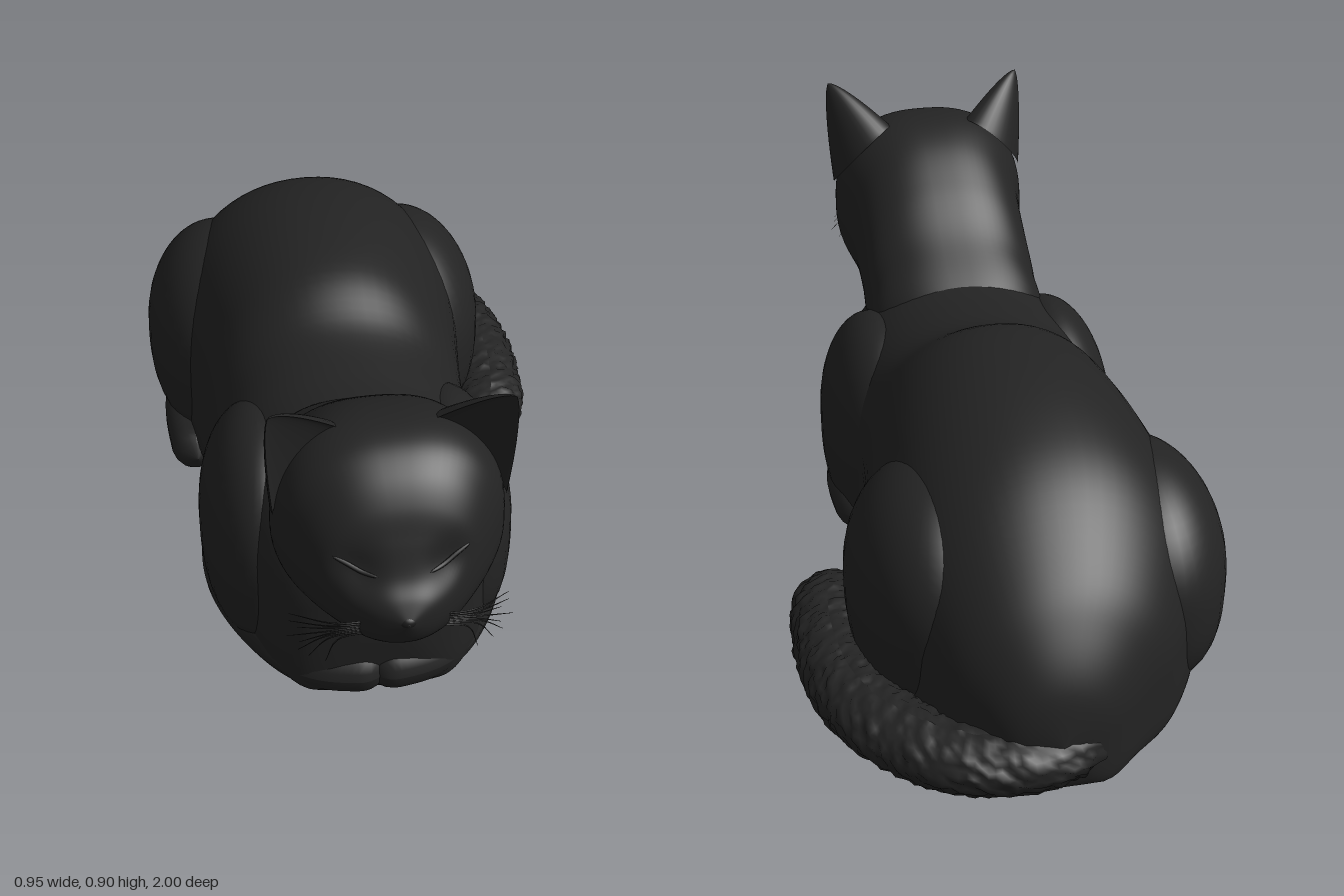
import * as THREE from 'three';

const fur = new THREE.MeshStandardMaterial({ color: 0x232323 });
fur.name = 'black fur';
const dark = new THREE.MeshStandardMaterial({ color: 0x191919 });
dark.name = 'darker skin';

const noise = (i, j) => {
  const s = Math.sin(i * 12.9898 + j * 78.233) * 43758.5453;
  return s - Math.floor(s);
};

function part(name, geometry, material = fur) {
  const mesh = new THREE.Mesh(geometry, material);
  mesh.name = name;
  return mesh;
}

// Closed skin: fn(t, angle) gives a point; t runs along, angle runs round
function skin(fn, nt, na) {
  const pos = [], idx = [];
  for (let i = 0; i <= nt; i++) {
    for (let j = 0; j < na; j++) pos.push(...fn(i / nt, (j / na) * Math.PI * 2));
  }
  for (let i = 0; i < nt; i++) {
    for (let j = 0; j < na; j++) {
      const a = i * na + j, b = i * na + (j + 1) % na;
      idx.push(a, b, a + na, b, b + na, a + na);
    }
  }
  const g = new THREE.BufferGeometry();
  g.setAttribute('position', new THREE.Float32BufferAttribute(pos, 3));
  g.setIndex(idx);
  g.computeVertexNormals();
  return g;
}

// Smooth value of column k at t along the cross-section rows
function sample(rows, t, k) {
  const f = t * (rows.length - 1), i = Math.min(Math.floor(f), rows.length - 2), u = f - i;
  const at = (n) => rows[Math.max(0, Math.min(rows.length - 1, n))][k];
  const [a, b, c, d] = [at(i - 1), at(i), at(i + 1), at(i + 2)];
  return b + 0.5 * u * (c - a + u * (2 * a - 5 * b + 4 * c - d + u * (3 * (b - c) + d - a)));
}

// Loft along z; rows are [z, half width, height of widest point, bottom, top, centre x]
function loft(rows, topPower, bottomPower, nt, na, dent = () => 0) {
  const pw = (v, n) => Math.sign(v) * Math.pow(Math.abs(v), 2 / n);
  return skin((t, a) => {
    const [z, w, yc, yb, yt, cx] = [0, 1, 2, 3, 4, 5].map((k) => sample(rows, t, k));
    const s = Math.sin(a), n = s > 0 ? topPower : bottomPower;
    const x = Math.max(w, 0) * pw(Math.cos(a), n);
    const y = yc + (s > 0 ? yt - yc : yc - yb) * pw(s, n);
    return [cx + x, Math.max(0, y), z - dent(x, y, z)];
  }, nt, na);
}

// Tube whose radius follows radius(u), with optional flattening and ragged fur
function limb(points, radius, nt, na, flat = 1, ragged = 0) {
  const curve = new THREE.CatmullRomCurve3(points.map((p) => new THREE.Vector3(...p)));
  const g = new THREE.TubeGeometry(curve, nt, 1, na, false);
  const p = g.attributes.position, v = new THREE.Vector3();
  for (let i = 0; i <= nt; i++) {
    const c = curve.getPointAt(i / nt);
    for (let j = 0; j <= na; j++) {
      const k = i * (na + 1) + j;
      const r = radius(i / nt) * (1 + ragged * (noise(i, j % na) - 0.5));
      v.fromBufferAttribute(p, k).sub(c).multiplyScalar(r);
      v.y *= flat;
      v.add(c);
      p.setXYZ(k, v.x, Math.max(0, v.y), v.z);
    }
  }
  g.computeVertexNormals();
  return g;
}

// Ellipsoid; a power above 2 makes its lower half stand more upright
function ellipsoid(name, [x, y, z], [rx, ry, rz], material = fur, power = 2) {
  const g = new THREE.SphereGeometry(1, 40, 32);
  const p = g.attributes.position;
  for (let i = 0; i < p.count; i++) {
    const u = p.getY(i), r = Math.sqrt(Math.max(1e-6, 1 - u * u));
    const k = u < 0 ? Math.pow(Math.max(0, 1 - Math.pow(-u, power)), 1 / power) / r : 1;
    p.setXYZ(i, x + p.getX(i) * k * rx, Math.max(0, y + u * ry), z + p.getZ(i) * k * rz);
  }
  g.computeVertexNormals();
  return part(name, g, material);
}

// Rounded at both ends, r in the middle
const round = (r, e = 0.12) => (u) => {
  const d = Math.min(u, 1 - u, e) / e;
  return r * Math.sqrt(Math.max(1e-8, 1 - (1 - d) ** 2));
};

export function createModel() {
  const cat = new THREE.Group();
  cat.name = 'lyingCat';
  const body = new THREE.Group();
  body.name = 'body';
  body.position.x = -0.06;
  cat.add(body);

  // Trunk from rump to chest, the rump leaning slightly towards the tail
  body.add(part('trunk', loft([
    [-0.965, 0, 0.12, 0.12, 0.12, 0.05], [-0.94, 0.1, 0.13, 0, 0.24, 0.045],
    [-0.88, 0.18, 0.16, 0, 0.345, 0.035], [-0.8, 0.255, 0.18, 0, 0.435, 0.02],
    [-0.65, 0.325, 0.2, 0, 0.553, 0.005], [-0.5, 0.35, 0.22, 0, 0.612, 0],
    [-0.3, 0.337, 0.24, 0, 0.642, 0], [-0.1, 0.31, 0.25, 0, 0.633, 0], [0.05, 0.3, 0.25, 0, 0.567, 0],
    [0.2, 0.315, 0.24, 0, 0.55, 0], [0.35, 0.3, 0.24, 0, 0.55, 0], [0.48, 0.265, 0.24, 0, 0.52, 0],
    [0.57, 0.22, 0.24, 0, 0.46, 0], [0.625, 0.15, 0.26, 0.03, 0.39, 0], [0.655, 0, 0.3, 0.3, 0.3, 0],
  ], 2.1, 7, 90, 64)));

  // Neck and head, with shallow eye sockets
  const bump = (x, y, cx, cy, s) => Math.exp(-((Math.abs(x) - cx) ** 2 + (y - cy) ** 2) / (s * s));
  const head = part('head', loft([
    [0.08, 0, 0.4, 0.4, 0.4, 0], [0.28, 0.195, 0.39, 0.25, 0.552, 0], [0.4, 0.212, 0.43, 0.28, 0.635, 0],
    [0.5, 0.21, 0.5, 0.31, 0.72, 0], [0.6, 0.214, 0.55, 0.345, 0.787, 0], [0.7, 0.236, 0.58, 0.38, 0.82, 0],
    [0.78, 0.228, 0.59, 0.4, 0.817, 0], [0.84, 0.197, 0.58, 0.41, 0.785, 0],
    [0.885, 0.163, 0.57, 0.42, 0.735, 0], [0.915, 0.133, 0.55, 0.43, 0.675, 0],
    [0.945, 0.1, 0.54, 0.445, 0.608, 0], [0.975, 0.057, 0.535, 0.475, 0.572, 0],
    [1.0, 0, 0.535, 0.535, 0.535, 0],
  ], 2.5, 2.3, 90, 72, (x, y, z) => (z > 0.8 ? 0.015 * bump(x, y, 0.09, 0.62, 0.04) : 0)));
  body.add(head);

  // Finds the depth of the face at x, y
  const ray = new THREE.Raycaster();
  const faceZ = (x, y) => {
    ray.set(new THREE.Vector3(x, y, 2), new THREE.Vector3(0, 0, -1));
    const hit = ray.intersectObject(head)[0];
    return hit ? hit.point.z : 0.9;
  };
  const onFace = (pts) => pts.map(([x, y]) => [x, y, faceZ(x, y)]);

  body.add(ellipsoid('nose', [0, 0.535, 0.979], [0.022, 0.016, 0.02], dark));
  body.add(ellipsoid('chin', [0, 0.465, 0.9], [0.05, 0.035, 0.045]));

  // Paired parts, built on the left and mirrored to the right
  for (const side of [1, -1]) {
    const half = new THREE.Group();
    half.name = side > 0 ? 'leftSide' : 'rightSide';
    half.scale.x = side;
    body.add(half);

    half.add(ellipsoid('haunch', [0.23, 0.25, -0.48], [0.185, 0.255, 0.285], fur, 2.8));
    half.add(ellipsoid('shoulder', [0.215, 0.23, 0.26], [0.138, 0.26, 0.27], fur, 2.8));
    half.add(part('hindFoot', limb(
      [[0.28, 0.05, -0.6], [0.33, 0.05, -0.42], [0.325, 0.045, -0.19]], round(0.058, 0.15), 30, 18)));
    half.add(part('frontLeg', limb(
      [[0.27, 0.055, 0.08], [0.272, 0.058, 0.28], [0.205, 0.058, 0.46], [0.12, 0.058, 0.56], [-0.03, 0.058, 0.595]],
      round(0.072, 0.1), 50, 20, 0.9)));

    // Ear: rounded outside, hollow in front
    half.add(part('ear', skin((t, a) => {
      const r = Math.pow(1 - t, 0.75);
      const c = Math.cos(a) * r * 1.1, s = Math.sin(a) * r * (Math.sin(a) > 0 ? 1 : -0.25);
      return [0.165 + 0.076 * t + 0.063 * c + 0.025 * s,
        0.725 + 0.176 * t - 0.073 * c + 0.02 * s,
        0.735 + 0.05 * t + 0.025 * c - 0.072 * s];
    }, 20, 36)));

    // Closed eye, whisker pad and mouth line
    half.add(part('closedEyelid', limb(
      onFace([[0.05, 0.61], [0.08, 0.615], [0.11, 0.63], [0.135, 0.642]]), round(0.005, 0.4), 20, 8), dark));
    half.add(ellipsoid('whiskerPad', [0.035, 0.497, 0.932], [0.045, 0.035, 0.042]));
    half.add(part('mouthLine', limb(
      [[0, 0.49, 0.967], [0.025, 0.472, 0.96], [0.06, 0.472, 0.93]], round(0.004, 0.3), 14, 6), dark));

    // Whiskers
    for (let i = 0; i < 8; i++) {
      const q = i / 7, reach = 0.16 + 0.06 * noise(i, 3);
      half.add(part('whisker', limb([
        [0.045, 0.51 - 0.03 * q, 0.945],
        [0.045 + reach * 0.5, 0.515 - 0.06 * q, 0.95 - 0.02 * q],
        [0.045 + reach * (1 - 0.35 * q), 0.49 - 0.1 * q, 0.88 + 0.04 * q],
      ], (u) => 0.0024 * (1.2 - u), 12, 5)));
    }
  }

  // Broad ragged tail curled round the left flank
  cat.add(part('tail', limb([
    [-0.12, 0.09, -0.82], [-0.04, 0.08, -0.885], [0.06, 0.07, -0.908], [0.185, 0.068, -0.88],
    [0.285, 0.068, -0.79], [0.352, 0.066, -0.66], [0.376, 0.064, -0.5], [0.37, 0.062, -0.35],
    [0.335, 0.06, -0.17],
  ], round(0.089, 0.12), 100, 40, 0.76, 0.14)));

  return cat;
}
